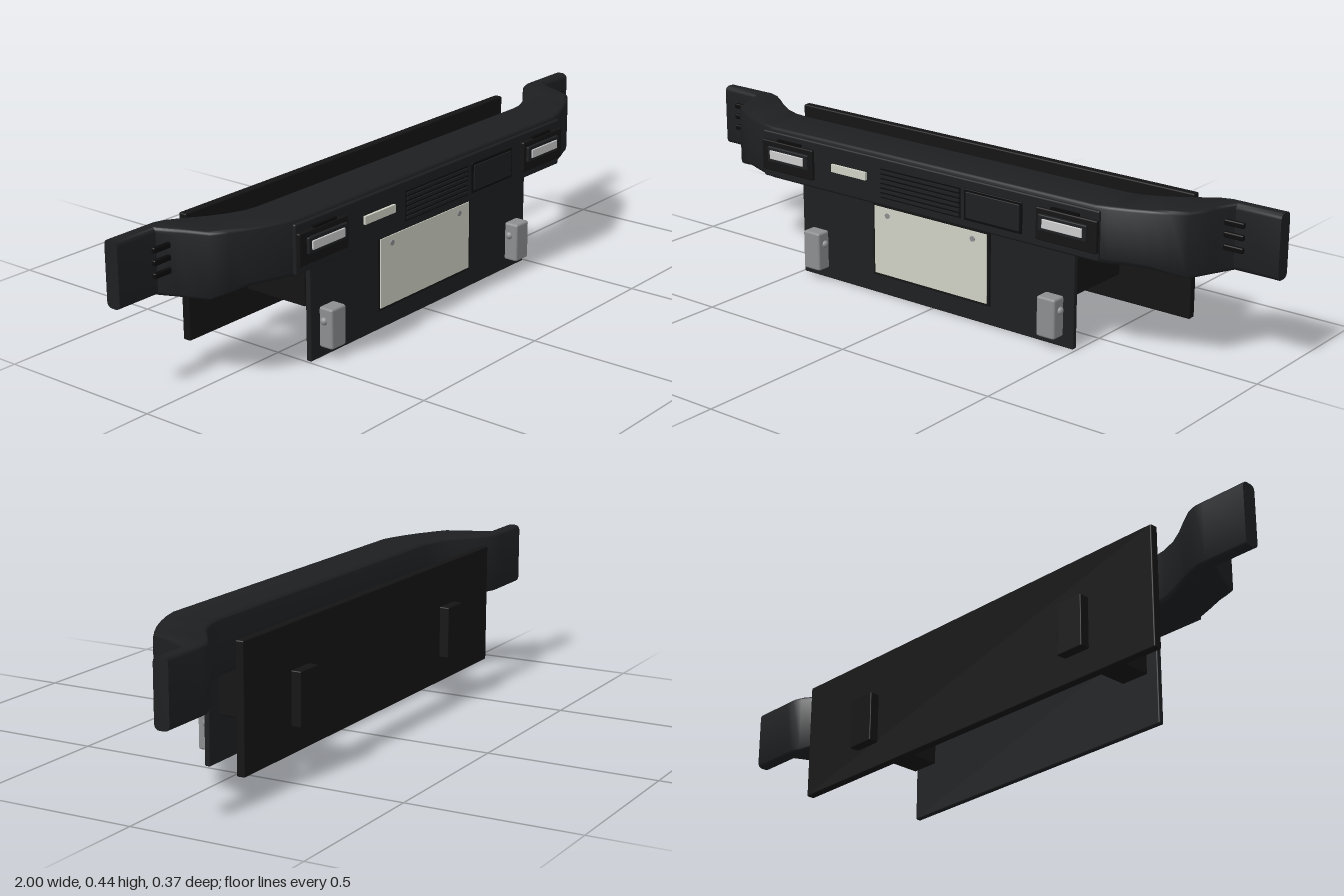
import * as THREE from 'three';
import { toCreasedNormals } from 'three/addons/utils/BufferGeometryUtils.js';
import { RoundedBoxGeometry } from 'three/addons/geometries/RoundedBoxGeometry.js';

const mat = (color) => new THREE.MeshStandardMaterial({ color });
const body = mat(0x1d1f21), dark = mat(0x141414), black = mat(0x0b0b0c);
const steel = mat(0x8c8e90), cream = mat(0xd0d1c4), lens = mat(0xdcdedc);

// Swept beam: rounded sections across x, given as [x, front z, back z, bottom y]
function beamGeometry() {
  const half = [
    [0.58, 0.155, 0, 0.287], [0.62, 0.145, -0.006, 0.287], [0.67, 0.127, -0.025, 0.287],
    [0.72, 0.105, -0.055, 0.285], [0.765, 0.08, -0.088, 0.273], [0.805, 0.055, -0.115, 0.262],
    [0.835, -0.015, -0.125, 0.262], [0.865, -0.08, -0.125, 0.262], [1, -0.08, -0.125, 0.262],
  ];
  const sections = [...half.map(([x, ...r]) => [-x, ...r]).reverse(), ...half];
  const top = 0.447, r = 0.015, steps = 4, n = 4 * (steps + 1);
  const pos = [], idx = [];
  for (const [x, zf, zb, yb] of sections) {
    const corners = [[zf - r, top - r], [zb + r, top - r], [zb + r, yb + r], [zf - r, yb + r]];
    corners.forEach(([z, y], q) => {
      for (let k = 0; k <= steps; k++) {
        const a = (q + k / steps) * Math.PI / 2;
        pos.push(x, y + r * Math.sin(a), z + r * Math.cos(a));
      }
    });
  }
  const last = (sections.length - 1) * n;
  for (let i = 0; i < last; i += n) {
    for (let j = 0; j < n; j++) {
      const a = i + j, c = i + (j + 1) % n;
      idx.push(a, a + n, c, a + n, c + n, c);
    }
  }
  // End caps
  for (let j = 1; j < n - 1; j++) {
    idx.push(0, j, j + 1, last, last + j + 1, last + j);
  }
  const g = new THREE.BufferGeometry();
  g.setAttribute('position', new THREE.Float32BufferAttribute(pos, 3));
  g.setIndex(idx);
  return toCreasedNormals(g, 0.9);
}

export function createModel() {
  const group = new THREE.Group();
  const add = (name, geo, material, x = 0, y = 0, z = 0) => {
    const m = new THREE.Mesh(geo, material);
    m.name = name;
    m.position.set(x, y, z);
    group.add(m);
    return m;
  };
  // Box given by its limits; r rounds the edges
  const box = (name, material, [x0, x1], [y0, y1], [z0, z1], r = 0) => {
    const s = [x1 - x0, y1 - y0, z1 - z0];
    const geo = r ? new RoundedBoxGeometry(...s, 2, r) : new THREE.BoxGeometry(...s);
    return add(name, geo, material, (x0 + x1) / 2, (y0 + y1) / 2, (z0 + z1) / 2);
  };

  add('bumperBeam', beamGeometry(), body);
  box('rearPanel', dark, [-0.708, 0.708], [0.07, 0.43], [-0.152, -0.127], 0.004);
  box('valance', body, [-0.495, 0.492], [0.002, 0.287], [0.097, 0.114], 0.004);
  box('fasciaPanel', body, [-0.605, 0.6], [0.295, 0.435], [0.15, 0.162], 0.005);

  // Number plate with frame and screws
  box('plateFrame', dark, [-0.215, 0.209], [0.06, 0.28], [0.113, 0.12]);
  box('plateFace', cream, [-0.207, 0.201], [0.068, 0.272], [0.118, 0.123]);
  for (const x of [-0.158, 0.152]) {
    const screw = add('plateScrew', new THREE.CylinderGeometry(0.008, 0.008, 0.004, 16), steel, x, 0.25, 0.124);
    screw.rotation.x = Math.PI / 2;
  }

  // Centre grille with slats
  box('grilleBack', black, [-0.148, 0.14], [0.318, 0.405], [0.16, 0.163]);
  for (let i = 0; i < 6; i++) {
    const y = 0.327 + i * 0.014;
    box('grilleSlat', body, [-0.145, 0.137], [y - 0.004, y + 0.004], [0.162, 0.167]);
  }

  // Badge panel and small marker light
  box('badgeFrame', black, [0.155, 0.352], [0.318, 0.408], [0.16, 0.166], 0.002);
  box('badgePanel', body, [0.162, 0.345], [0.325, 0.401], [0.164, 0.169], 0.002);
  box('markerLight', cream, [-0.33, -0.2], [0.36, 0.383], [0.16, 0.17]);

  for (const s of [-1, 1]) {
    const span = (a, b) => (s > 0 ? [a, b] : [-b, -a]);
    // Fog lamps
    box('lampHousing', dark, span(0.402, 0.6), [0.318, 0.41], [0.158, 0.172], 0.004);
    box('lampBezel', body, span(0.415, 0.572), [0.348, 0.394], [0.168, 0.18], 0.003);
    box('lampLens', lens, span(0.43, 0.56), [0.358, 0.384], [0.175, 0.184], 0.002);
    box('lampTab', black, span(0.45, 0.54), [0.41, 0.417], [0.158, 0.171]);
    // Mounting arms through the rear panel
    box('mountArm', dark, span(0.385, 0.475), [0.147, 0.301], [-0.181, 0.077], 0.003);
    // Tow points with a cross pin
    box('towPoint', steel, span(0.397, 0.458), [0.034, 0.151], [0.11, 0.157], 0.007);
    const pin = add('towPin', new THREE.CapsuleGeometry(0.012, 0.056, 4, 16), steel, s * 0.4275, 0.113, 0.129);
    pin.rotation.z = Math.PI / 2;
    // End vents
    for (const y of [0.34, 0.375, 0.409]) {
      box('endVent', black, span(0.857, 0.917), [y - 0.008, y + 0.008], [-0.046, -0.034], 0.004);
    }
  }
  return group;
}
